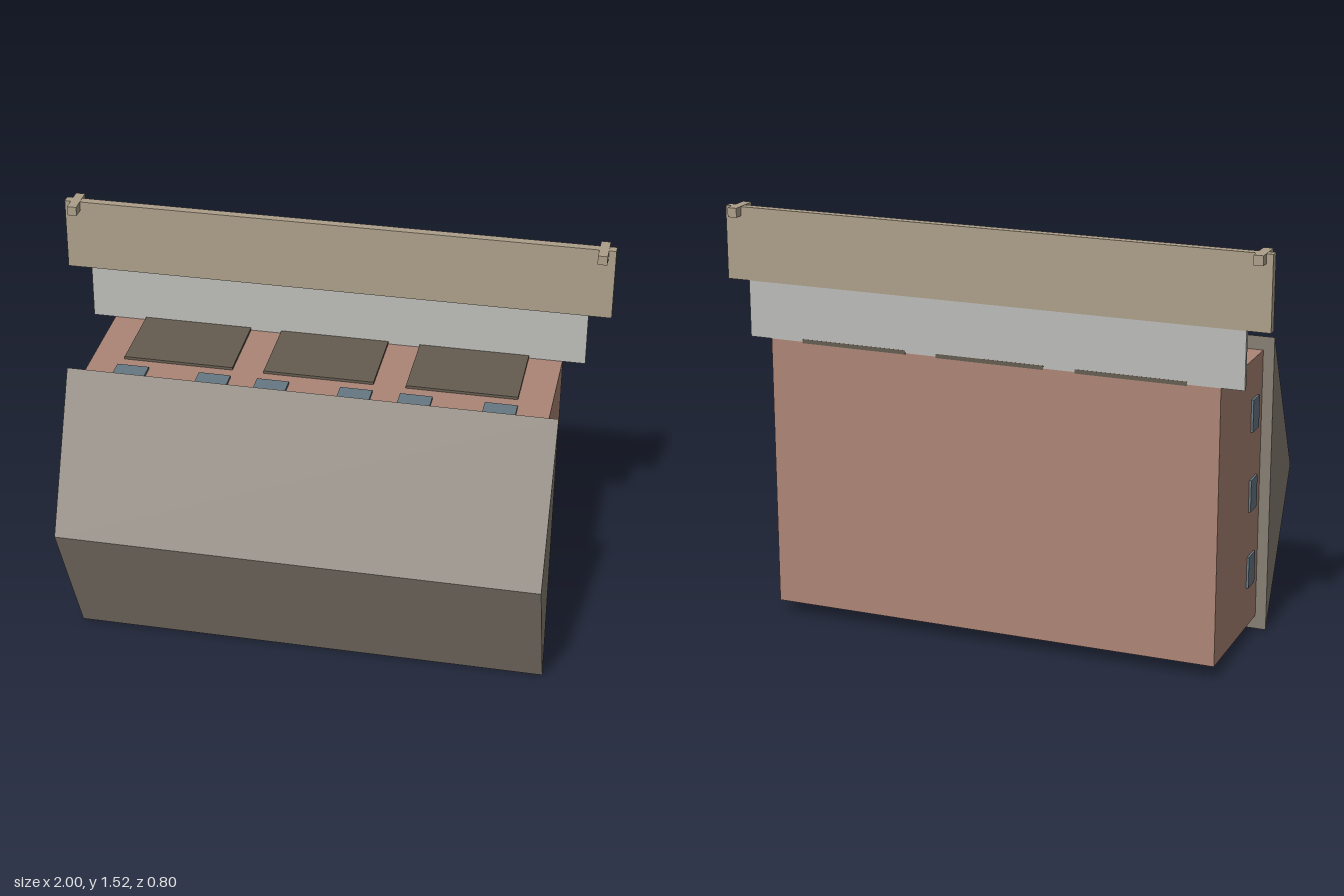
import * as THREE from 'three';

const mat = (name, color) => new THREE.MeshStandardMaterial({ name, color });

export function createModel() {
  const model = new THREE.Group();
  model.name = 'house';
  const brick = mat('brick', 0xac8576);
  const roofGrey = mat('roofGrey', 0x867e73);
  const doorBrown = mat('doorBrown', 0x645c50);
  const glass = mat('windowBlue', 0x667883);
  const paving = mat('pavingGrey', 0xbbbbb8);
  const wood = mat('wood', 0xac9f8a);

  // Box given by its low and high corners
  const box = (name, material, [x0, y0, z0], [x1, y1, z1]) => {
    const mesh = new THREE.Mesh(new THREE.BoxGeometry(x1 - x0, y1 - y0, z1 - z0), material);
    mesh.position.set((x0 + x1) / 2, (y0 + y1) / 2, (z0 + z1) / 2);
    mesh.name = name;
    model.add(mesh);
  };

  box('walls', brick, [-0.835, 0.05, -0.365], [0.835, 1.05, 0.135]);

  // Gable roof: triangle in (z, y) extruded along x
  const gable = new THREE.Shape([
    new THREE.Vector2(-0.135, 0),
    new THREE.Vector2(-0.135, 1.1),
    new THREE.Vector2(-0.4, 0.55),
  ]);
  const roofGeometry = new THREE.ExtrudeGeometry(gable, { depth: 1.75, bevelEnabled: false });
  roofGeometry.translate(0, 0, -0.875).rotateY(Math.PI / 2);
  const roof = new THREE.Mesh(roofGeometry, roofGrey);
  roof.name = 'roof';
  model.add(roof);

  // Three wide doors, each with a pair of windows
  for (const x of [-0.517, -0.003, 0.513]) {
    box('garageDoor', doorBrown, [x - 0.2, 1.045, -0.3655], [x + 0.2, 1.06, -0.05]);
    for (const dx of [-0.153, 0.148]) {
      box('frontWindow', glass, [x + dx - 0.058, 1.045, 0.005], [x + dx + 0.058, 1.06, 0.08]);
    }
  }

  // Windows on both end walls
  for (const side of [-1, 1]) {
    for (const y of [0.262, 0.55, 0.845]) {
      const xs = [side * 0.83, side * 0.843].sort((a, b) => a - b);
      box('sideWindow', glass, [xs[0], y - 0.059, 0.005], [xs[1], y + 0.059, 0.08]);
    }
  }

  // Paved strip, long board and its end crossbars
  box('pavedStrip', paving, [-0.917, 1.05, -0.365], [0.917, 1.255, -0.35]);
  box('longBoard', wood, [-1, 1.255, -0.365], [1, 1.52, -0.333]);
  for (const x of [-0.96, 0.957]) {
    box('crossbar', wood, [x - 0.017, 1.487, -0.4], [x + 0.017, 1.521, -0.285]);
  }
  return model;
}
